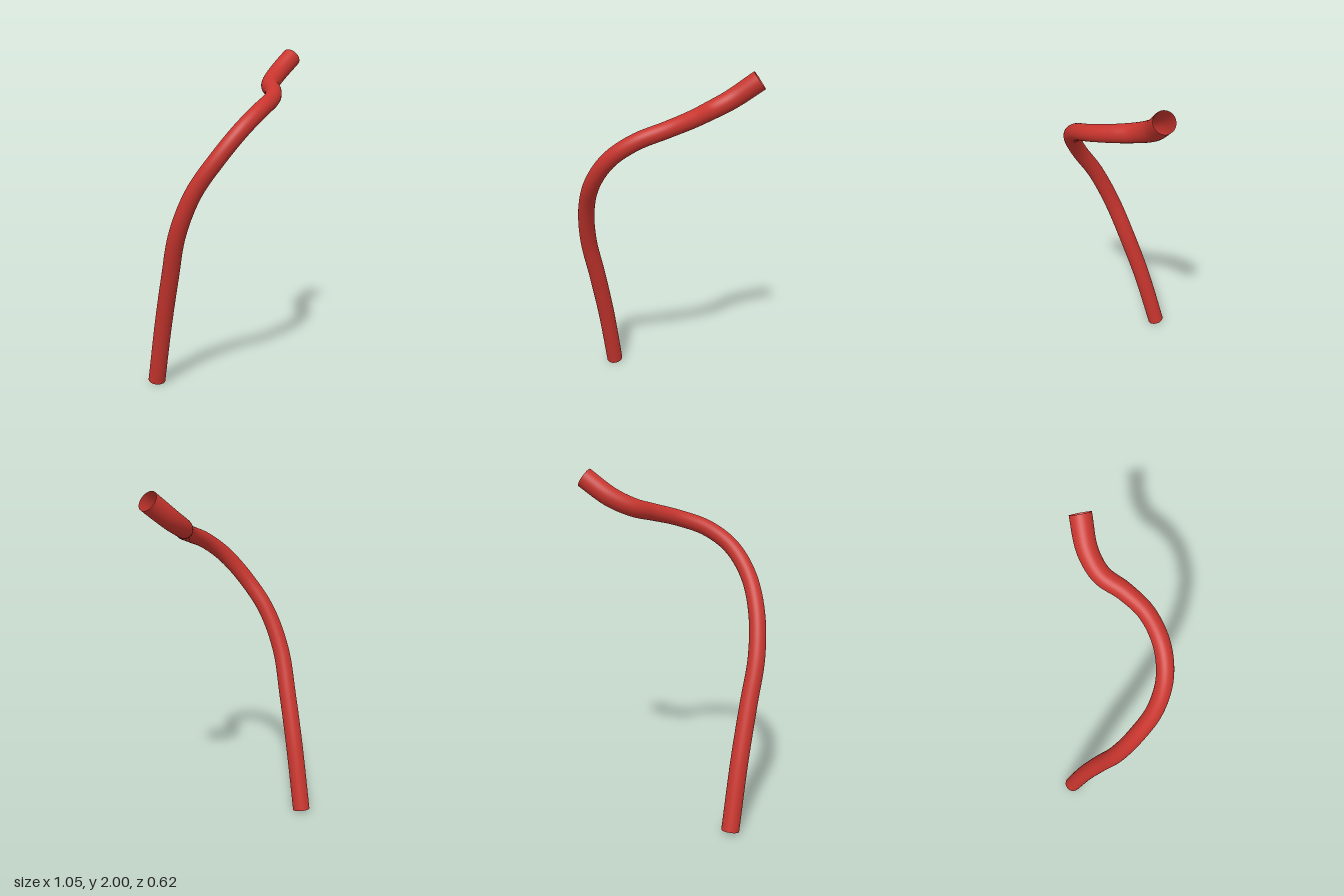
import * as THREE from 'three';

// Centre line of the pipe from foot to raised tip
const path = [
  [-0.475, 0.014, -0.265], [-0.475, 0.40, -0.16], [-0.477, 0.70, -0.06], [-0.477, 0.97, 0.04],
  [-0.425, 1.21, 0.14], [-0.325, 1.40, 0.23], [-0.197, 1.55, 0.262], [-0.055, 1.65, 0.23],
  [0.085, 1.71, 0.14], [0.177, 1.75, 0.015], [0.24, 1.785, -0.11], [0.34, 1.845, -0.19],
  [0.485, 1.952, -0.238],
].map((p) => new THREE.Vector3(...p));

export function createModel() {
  const group = new THREE.Group();
  const red = new THREE.MeshStandardMaterial({ color: 0xc8352e, side: THREE.DoubleSide });
  red.name = 'red';

  const curve = new THREE.CatmullRomCurve3(path, false, 'centripetal');
  const rings = 120, sides = 32, base = 0.05;
  const geometry = new THREE.TubeGeometry(curve, rings, base, sides, false);

  // Slim the pipe at the bend and flare it toward the tip
  const pos = geometry.attributes.position;
  const v = new THREE.Vector3();
  for (let i = 0; i <= rings; i++) {
    const t = i / rings;
    const centre = curve.getPointAt(t);
    const slim = THREE.MathUtils.smoothstep(t, 0.2, 0.6);
    const flare = THREE.MathUtils.smoothstep(t, 0.75, 1);
    const radius = 0.051 - 0.004 * slim + 0.012 * flare;
    for (let j = 0; j <= sides; j++) {
      const k = i * (sides + 1) + j;
      v.fromBufferAttribute(pos, k).sub(centre).multiplyScalar(radius / base).add(centre);
      pos.setXYZ(k, v.x, v.y, v.z);
    }
  }

  const pipe = new THREE.Mesh(geometry, red);
  pipe.name = 'bentPipe';
  group.add(pipe);
  return group;
}
